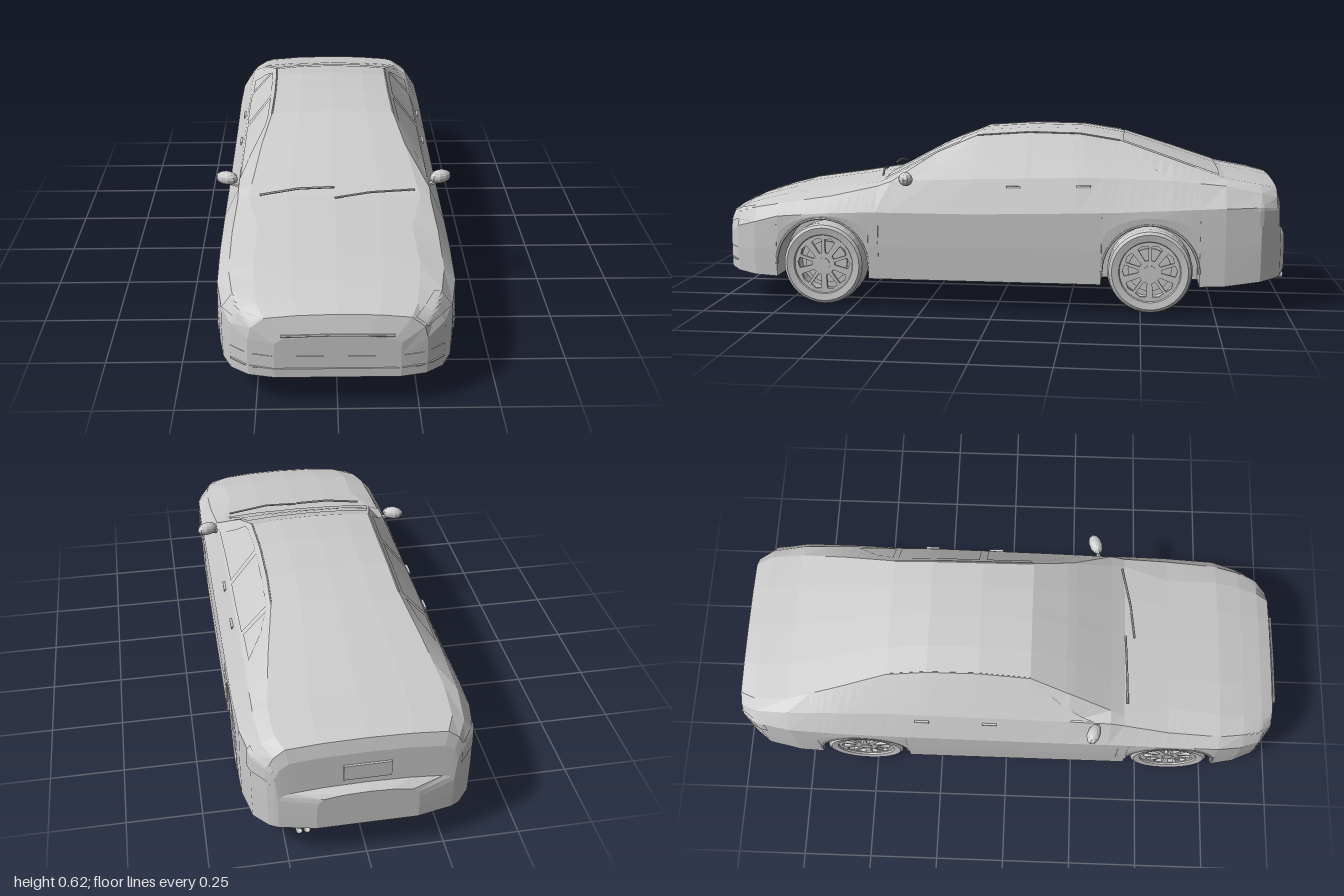
import * as THREE from 'three';

const flat = new THREE.MeshStandardMaterial({ color: 0xcccccc, flatShading: true, side: THREE.DoubleSide });
const smooth = new THREE.MeshStandardMaterial({ color: 0xcccccc });
const AXLES = [0.61, -0.53], AXLE_Y = 0.145, ARCH = 0.165;

// Stations, front to back: z, half width, shoulder y, belt x, belt y, roof edge x, centre y
const STATIONS = [
  [0.995, 0.19, 0.19, 0.19, 0.235, 0.17, 0.262],
  [0.975, 0.27, 0.24, 0.26, 0.28, 0.22, 0.325],
  [0.93, 0.325, 0.27, 0.297, 0.315, 0.24, 0.345],
  [0.86, 0.355, 0.29, 0.32, 0.338, 0.25, 0.367],
  [0.77, 0.372, 0.315, 0.335, 0.355, 0.26, 0.39],
  [0.58, 0.375, 0.33, 0.335, 0.385, 0.25, 0.418],
  [0.42, 0.375, 0.335, 0.325, 0.42, 0.29, 0.442],
  [0.37, 0.375, 0.335, 0.325, 0.438, 0.28, 0.466],
  [0.22, 0.375, 0.335, 0.325, 0.445, 0.25, 0.546],
  [0.08, 0.375, 0.335, 0.325, 0.45, 0.217, 0.605],
  [-0.1, 0.375, 0.34, 0.325, 0.455, 0.21, 0.617],
  [-0.28, 0.375, 0.345, 0.325, 0.46, 0.21, 0.614],
  [-0.42, 0.375, 0.35, 0.322, 0.46, 0.215, 0.592],
  [-0.6, 0.375, 0.36, 0.325, 0.455, 0.25, 0.533],
  [-0.78, 0.37, 0.37, 0.325, 0.44, 0.28, 0.473],
  [-0.9, 0.348, 0.37, 0.315, 0.415, 0.275, 0.452],
  [-0.955, 0.305, 0.36, 0.285, 0.4, 0.25, 0.44],
  [-0.968, 0.285, 0.33, 0.27, 0.36, 0.24, 0.395],
  [-0.973, 0.275, 0.24, 0.265, 0.255, 0.24, 0.277],
  [-1.0, 0.16, 0.215, 0.155, 0.235, 0.14, 0.262],
];

function floorY(z) {
  return 0.1 + Math.max(0, z - 0.85) * 0.1 + Math.max(0, -0.75 - z) * 0.12;
}

// Right half of the cross-section at z: floor, wheel well, flank, belt, roof
function section(z) {
  let i = 0;
  while (i < STATIONS.length - 2 && z < STATIONS[i + 1][0]) i++;
  const a = STATIONS[i], b = STATIONS[i + 1], t = (z - a[0]) / (b[0] - a[0]);
  const [, w, shoulder, beltX, beltY, roofX, top] = a.map((v, k) => v + (b[k] - v) * t);
  const fy = floorY(z), well = Math.min(0.255, w * 0.7);
  let sill = fy;
  for (const c of AXLES) {
    const d = Math.abs(z - c);
    if (d <= ARCH + 1e-6) sill = AXLE_Y + Math.sqrt(Math.max(0, ARCH * ARCH - d * d));
  }
  return [[0, fy], [well, fy], [well, sill], [w, sill], [w + 0.002, (sill + shoulder) / 2],
    [w, shoulder], [beltX, beltY], [roofX, top - 0.012], [roofX * 0.55, top - 0.003], [0, top]]
    .map(([x, y]) => new THREE.Vector3(x, y, z));
}

// Point on the body skin; u runs along the section points
function skin(z, u) {
  const p = section(z), i = Math.min(Math.floor(u), p.length - 2);
  return p[i].clone().lerp(p[i + 1], u - i);
}

function geometryFrom(points) {
  const g = new THREE.BufferGeometry().setFromPoints(points);
  g.computeVertexNormals();
  return g;
}

function bodyGeometry() {
  const zs = STATIONS.map((s) => s[0]);
  for (const c of AXLES) {
    for (let k = 0; k <= 14; k++) zs.push(c + ARCH * Math.cos((k * Math.PI) / 14));
    zs.push(c + ARCH + 0.0005, c - ARCH - 0.0005);
  }
  zs.sort((a, b) => b - a);
  const right = zs.map(section);
  const left = right.map((r) => r.map((p) => new THREE.Vector3(-p.x, p.y, p.z)));
  const out = [];
  const quad = (a, b, c, d) => out.push(a, b, c, a, c, d);
  for (let s = 0; s < zs.length - 1; s++) {
    for (let u = 0; u < 9; u++) {
      quad(right[s][u], right[s + 1][u], right[s + 1][u + 1], right[s][u + 1]);
      quad(left[s][u + 1], left[s + 1][u + 1], left[s + 1][u], left[s][u]);
    }
  }
  const e = zs.length - 1;
  for (let u = 0; u < 9; u++) {
    quad(right[0][u], right[0][u + 1], left[0][u + 1], left[0][u]);
    quad(left[e][u], left[e][u + 1], right[e][u + 1], right[e][u]);
  }
  return geometryFrom(out);
}

// Thin panel laid just above the skin, between four (z, u) corners
function panelGeometry(corners, side, lift = 0.003) {
  const N = 8, grid = [], out = [];
  const [a, b, c, d] = corners.map(([z, u]) => new THREE.Vector2(z, u));
  for (let i = 0; i <= N; i++) {
    for (let j = 0; j <= N; j++) {
      const q = a.clone().lerp(b, i / N).lerp(d.clone().lerp(c, i / N), j / N);
      const p = skin(q.x, q.y), u0 = Math.min(q.y, 8.95);
      const alongZ = skin(q.x - 0.004, u0).sub(skin(q.x + 0.004, u0));
      const alongU = skin(q.x, u0 + 0.04).sub(skin(q.x, u0));
      p.addScaledVector(alongZ.cross(alongU).normalize(), lift);
      if (q.y > 8.99) p.x = 0;
      p.x *= side;
      grid.push(p);
    }
  }
  for (let i = 0; i < N; i++) {
    for (let j = 0; j < N; j++) {
      const k = i * (N + 1) + j;
      out.push(grid[k], grid[k + 1], grid[k + N + 2], grid[k], grid[k + N + 2], grid[k + N + 1]);
    }
  }
  return geometryFrom(out);
}

function mesh(parent, name, geometry, material = smooth, x = 0, y = 0, z = 0) {
  const m = new THREE.Mesh(geometry, material);
  m.name = name;
  m.position.set(x, y, z);
  parent.add(m);
  return m;
}

function rod(parent, name, points, radius) {
  const path = new THREE.CurvePath();
  const v = points.map((p) => new THREE.Vector3(...p));
  for (let i = 1; i < v.length; i++) path.add(new THREE.LineCurve3(v[i - 1], v[i]));
  return mesh(parent, name, new THREE.TubeGeometry(path, 24, radius, 6, false), flat);
}

// Wheel with its axis along x, outer face towards +x
function createWheel() {
  const wheel = new THREE.Group();
  wheel.name = 'wheel';
  const profile = [[0.106, -0.048], [0.13, -0.052], [0.14, -0.046], [0.145, -0.03],
    [0.145, 0.03], [0.14, 0.046], [0.13, 0.052], [0.106, 0.048], [0.1, 0.035], [0.1, -0.048], [0.106, -0.048]];
  const tyre = new THREE.LatheGeometry(profile.map((p) => new THREE.Vector2(...p)), 36);
  mesh(wheel, 'tyre', tyre.rotateZ(-Math.PI / 2), flat);

  // Alloy face: disc with ten openings, paired between five double spokes
  const face = new THREE.Shape().absarc(0, 0, 0.104, 0, Math.PI * 2);
  for (let k = 0; k < 10; k++) {
    const mid = ((k + (k % 2 ? -0.06 : 0.06)) * Math.PI) / 5;
    const at = (r, a) => new THREE.Vector2(r * Math.cos(mid + a), r * Math.sin(mid + a));
    face.holes.push(new THREE.Path([at(0.04, -0.13), at(0.088, -0.22), at(0.093, 0), at(0.088, 0.22), at(0.04, 0.13)]));
  }
  const rim = new THREE.ExtrudeGeometry(face, { depth: 0.012, bevelEnabled: false, curveSegments: 36 });
  mesh(wheel, 'rim', rim.rotateY(Math.PI / 2), flat, 0.03);
  const disc = (name, r, len, x) =>
    mesh(wheel, name, new THREE.CylinderGeometry(r, r, len, 24).rotateZ(Math.PI / 2), flat, x);
  disc('brakeDisc', 0.075, 0.01, 0);
  disc('backPlate', 0.1, 0.006, -0.035);
  disc('hub', 0.022, 0.09, 0);
  return wheel;
}

export function createModel() {
  const car = new THREE.Group();
  car.name = 'car';
  mesh(car, 'body', bodyGeometry(), flat);

  // Panels on both sides: glass and lamps
  const panels = {
    windscreen: [[0.4, 7.06], [0.14, 7.06], [0.14, 9], [0.4, 9]],
    rearWindow: [[-0.43, 7.06], [-0.76, 7.06], [-0.76, 9], [-0.43, 9]],
    frontSideWindow: [[0.31, 6.08], [-0.09, 6.08], [-0.09, 6.88], [0.12, 6.88]],
    rearSideWindow: [[-0.115, 6.08], [-0.41, 6.08], [-0.41, 6.88], [-0.115, 6.88]],
    quarterWindow: [[-0.43, 6.12], [-0.57, 6.2], [-0.5, 6.7], [-0.43, 6.85]],
    headlight: [[0.87, 5], [0.97, 5.8], [0.97, 6.8], [0.87, 6.3]],
    tailLight: [[-0.87, 4.5], [-0.962, 4.6], [-0.962, 5.4], [-0.87, 5.3]],
  };
  for (const side of [1, -1]) {
    for (const [name, corners] of Object.entries(panels)) mesh(car, name, panelGeometry(corners, side), flat);

    // Wheels and arch lips
    for (const z of AXLES) {
      const wheel = createWheel();
      wheel.position.set(side * 0.317, AXLE_Y, z);
      if (side < 0) wheel.rotation.y = Math.PI;
      car.add(wheel);
      const lip = new THREE.TorusGeometry(ARCH, 0.005, 6, 24, Math.PI).rotateY(Math.PI / 2);
      mesh(car, 'archLip', lip, flat, side * 0.372, AXLE_Y, z);
    }

    // Door mirror
    const housing = mesh(car, 'mirrorHousing', new THREE.SphereGeometry(1, 10, 8), flat, side * 0.367, 0.452, 0.31);
    housing.scale.set(0.04, 0.024, 0.024);
    housing.rotation.y = side * 0.35;
    rod(car, 'mirrorStalk', [[side * 0.32, 0.428, 0.325], [side * 0.36, 0.436, 0.315]], 0.008);

    // Door handles, front door seam and roof trim
    for (const z of [-0.06, -0.3]) {
      const p = skin(z, 5.75);
      mesh(car, 'doorHandle', new THREE.BoxGeometry(0.012, 0.009, 0.05), flat, side * p.x, p.y, z);
    }
    rod(car, 'doorSeam', [[side * 0.376, 0.18, 0.41], [side * 0.375, 0.29, 0.41]], 0.002);
    rod(car, 'roofTrim', [0.08, -0.1, -0.28, -0.42].map((z) => {
      const p = skin(z, 7);
      return [side * p.x, p.y, z];
    }), 0.003);
  }

  // Front bumper trims following the nose
  for (const [y, r] of [[0.145, 0.004], [0.19, 0.002]]) {
    rod(car, 'bumperTrim', [[-0.325, y, 0.93], [-0.27, y, 0.975], [-0.19, y, 0.994],
      [0.19, y, 0.994], [0.27, y, 0.975], [0.325, y, 0.93]], r);
  }
  rod(car, 'grilleBar', [[-0.17, 0.262, 0.995], [0, 0.266, 0.996], [0.17, 0.262, 0.995]], 0.004);

  // Wipers resting on the base of the windscreen
  rod(car, 'wiper', [[-0.25, 0.446, 0.43], [-0.12, 0.466, 0.425], [0, 0.468, 0.42]], 0.004);
  rod(car, 'wiper', [[0, 0.446, 0.455], [0.12, 0.458, 0.44], [0.27, 0.452, 0.41]], 0.004);

  // Rear number plate panel, muffler and twin exhaust pipes
  mesh(car, 'platePanel', new THREE.BoxGeometry(0.15, 0.055, 0.008), flat, 0, 0.325, -0.973);
  mesh(car, 'muffler', new THREE.BoxGeometry(0.1, 0.03, 0.1), flat, 0.17, 0.105, -0.83);
  for (const x of [0.19, 0.215]) {
    const pipe = new THREE.CylinderGeometry(0.01, 0.01, 0.14, 12, 1, true).rotateX(Math.PI / 2);
    mesh(car, 'exhaustPipe', pipe, flat, x, 0.118, -0.92);
  }
  return car;
}
